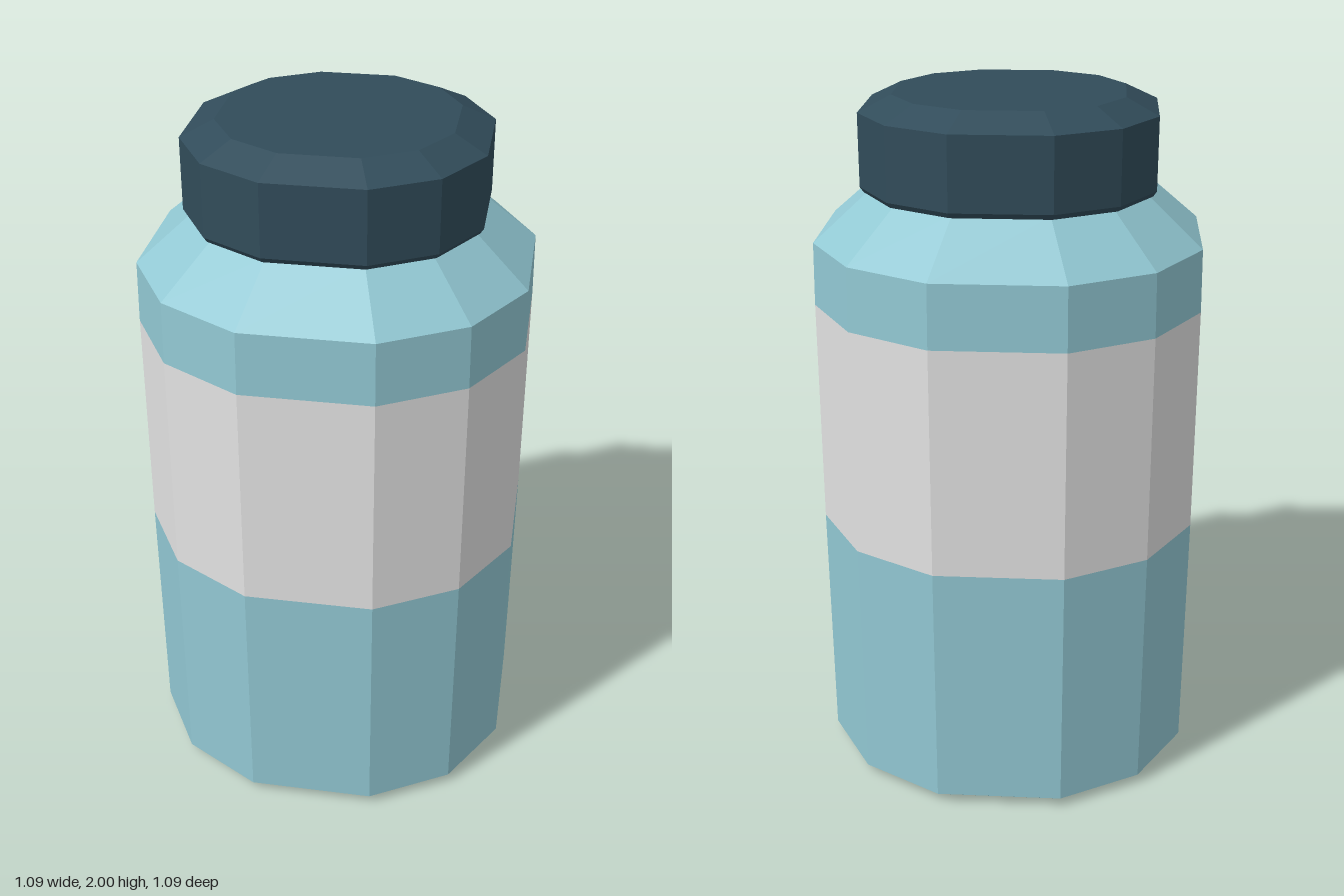
import * as THREE from 'three';

// Twelve-sided outline with slightly wider faces on the four main sides
const quarter = [[0.335, 1], [0.757, 0.757], [1, 0.335]];
const outline = [];
for (let q = 0; q < 4; q++) {
  for (const [x, z] of quarter) {
    let p = [x, z];
    for (let k = 0; k < q; k++) p = [p[1], -p[0]];
    outline.push(p);
  }
}

// Skin stacked rings given as [half width, height], with optional end faces
function skin(rows, closeBottom, closeTop) {
  const pos = [];
  const n = outline.length;
  const at = ([r, y], i) => [outline[i % n][0] * r, y, outline[i % n][1] * r];
  const last = rows[rows.length - 1];
  for (let i = 0; i < n; i++) {
    for (let j = 0; j < rows.length - 1; j++) {
      const a = at(rows[j], i), b = at(rows[j], i + 1);
      const c = at(rows[j + 1], i + 1), d = at(rows[j + 1], i);
      pos.push(...a, ...b, ...c, ...a, ...c, ...d);
    }
    if (closeBottom) pos.push(0, rows[0][1], 0, ...at(rows[0], i + 1), ...at(rows[0], i));
    if (closeTop) pos.push(0, last[1], 0, ...at(last, i), ...at(last, i + 1));
  }
  const geo = new THREE.BufferGeometry();
  geo.setAttribute('position', new THREE.Float32BufferAttribute(pos, 3));
  geo.computeVertexNormals();
  return geo;
}

export function createModel() {
  const group = new THREE.Group();
  const material = (name, color) => {
    const m = new THREE.MeshStandardMaterial({ color });
    m.name = name;
    return m;
  };
  const teal = material('tealPlastic', 0x92c8d3);
  const white = material('labelWhite', 0xe2e2e2);
  const navy = material('capNavy', 0x314c5a);

  const add = (name, mat, rows, closeBottom = false, closeTop = false) => {
    const mesh = new THREE.Mesh(skin(rows, closeBottom, closeTop), mat);
    mesh.name = name;
    group.add(mesh);
  };

  // Bottle: chamfered base, label band, shoulder running up to the neck
  add('lowerBody', teal, [[0.5, 0], [0.54, 0.03], [0.544, 0.76]], true);
  add('label', white, [[0.544, 0.76], [0.543, 1.42]]);
  add('shoulder', teal, [[0.543, 1.42], [0.54, 1.6], [0.385, 1.74]], false, true);

  // Lid with a small lower bevel and a wide upper bevel
  add('cap', navy, [[0.4, 1.735], [0.41, 1.75], [0.41, 1.955], [0.32, 2]], true, true);
  return group;
}
